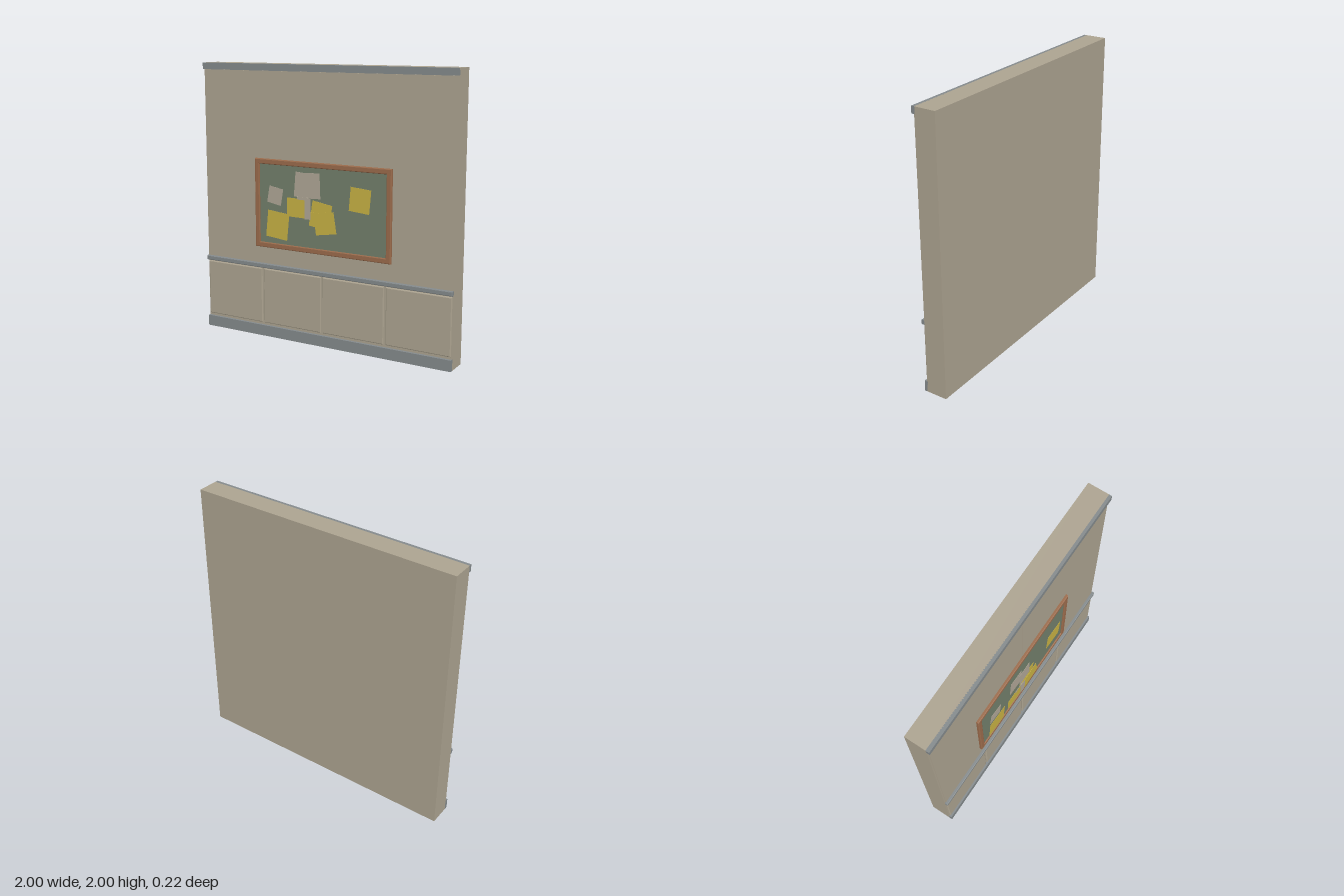
import * as THREE from 'three';

const mat = (name, color) => new THREE.MeshStandardMaterial({ name, color });

export function createModel() {
  const group = new THREE.Group();
  const wallPaint = mat('wall paint', 0xada491);
  const trimPaint = mat('trim grey', 0x858b8d);
  const frameWood = mat('frame wood', 0x9c6c4c);
  const boardFelt = mat('board green', 0x73806c);
  const yellowPaper = mat('yellow paper', 0xc8b244);
  const greyPaper = mat('grey paper', 0xb0a797);

  const add = (name, geometry, material) => {
    const mesh = new THREE.Mesh(geometry, material);
    mesh.name = name;
    group.add(mesh);
    return mesh;
  };

  // Box given by its limits
  const box = (name, material, x0, x1, y0, y1, z0, z1) =>
    add(name, new THREE.BoxGeometry(x1 - x0, y1 - y0, z1 - z0), material)
      .position.set((x0 + x1) / 2, (y0 + y1) / 2, (z0 + z1) / 2);

  const trace = (path, x0, x1, y0, y1) => {
    path.moveTo(x0, y0);
    path.lineTo(x1, y0);
    path.lineTo(x1, y1);
    path.lineTo(x0, y1);
    path.closePath();
    return path;
  };

  // Slab with bevelled front edge, optionally with a rectangular opening
  const slab = (name, material, [x0, x1, y0, y1], z0, z1, bevel, rim = 0) => {
    const b = bevel;
    const shape = trace(new THREE.Shape(), x0 + b, x1 - b, y0 + b, y1 - b);
    if (rim) {
      const r = rim + b;
      shape.holes.push(trace(new THREE.Path(), x0 + r, x1 - r, y0 + r, y1 - r));
    }
    const geometry = new THREE.ExtrudeGeometry(shape, {
      depth: z1 - z0 - 2 * b, bevelEnabled: true,
      bevelSize: b, bevelThickness: b, bevelSegments: 2,
    });
    geometry.translate(0, 0, z0 + b);
    return add(name, geometry, material);
  };

  // Wall and its two upper panels, separated by a narrow seam
  box('wall', wallPaint, -1, 1, 0, 2, -0.11, 0.045);
  for (const s of [-1, 1]) {
    const x = s * 0.496;
    box('upperPanel', wallPaint, x - 0.493, x + 0.493, 0.555, 1.95, 0.04, 0.05);
  }

  // Horizontal trims
  box('baseboard', trimPaint, -1, 1, 0, 0.08, 0.04, 0.066);
  slab('chairRail', trimPaint, [-1, 1, 0.52, 0.553], 0.042, 0.07, 0.005);
  box('crownTrim', trimPaint, -1, 1, 1.952, 2, 0.04, 0.066);

  // Four raised wainscot panels
  for (let i = 0; i < 4; i++) {
    const x = -0.75 + i * 0.5;
    slab('wainscotPanel', wallPaint, [x - 0.243, x + 0.243, 0.097, 0.511], 0.036, 0.056, 0.007);
  }

  // Pin board
  slab('boardFrame', frameWood, [-0.55, 0.547, 0.678, 1.328], 0.042, 0.07, 0.006, 0.026);
  box('boardSurface', boardFelt, -0.53, 0.527, 0.698, 1.308, 0.045, 0.06);

  // Sheets: centre x, y, depth, width, height, turn in degrees
  const sheets = [
    ['note', yellowPaper, -0.355, 0.855, 0.073, 0.18, 0.195, -6],
    ['note', yellowPaper, 0.325, 1.1, 0.096, 0.157, 0.168, -5],
    ['note', yellowPaper, 0.01, 0.978, 0.08, 0.16, 0.15, -9],
    ['note', yellowPaper, -0.025, 0.925, 0.083, 0.11, 0.1, -8],
    ['note', yellowPaper, 0.046, 0.91, 0.09, 0.165, 0.155, 9],
    ['note', yellowPaper, -0.165, 1.003, 0.103, 0.18, 0.135, -1],
    ['page', greyPaper, -0.371, 1.07, 0.077, 0.117, 0.122, -10],
    ['page', greyPaper, -0.135, 1.165, 0.086, 0.13, 0.178, -5],
    ['page', greyPaper, -0.048, 1.17, 0.1, 0.123, 0.18, 2],
    ['page', greyPaper, -0.125, 1.075, 0.106, 0.09, 0.02, 0],
    ['page', greyPaper, -0.082, 1.005, 0.109, 0.05, 0.148, 0],
  ];
  for (const [name, material, x, y, z, w, h, turn] of sheets) {
    const sheet = add(name, new THREE.BoxGeometry(w, h, 0.002), material);
    sheet.position.set(x, y, z);
    sheet.rotation.z = THREE.MathUtils.degToRad(turn);
  }

  return group;
}
